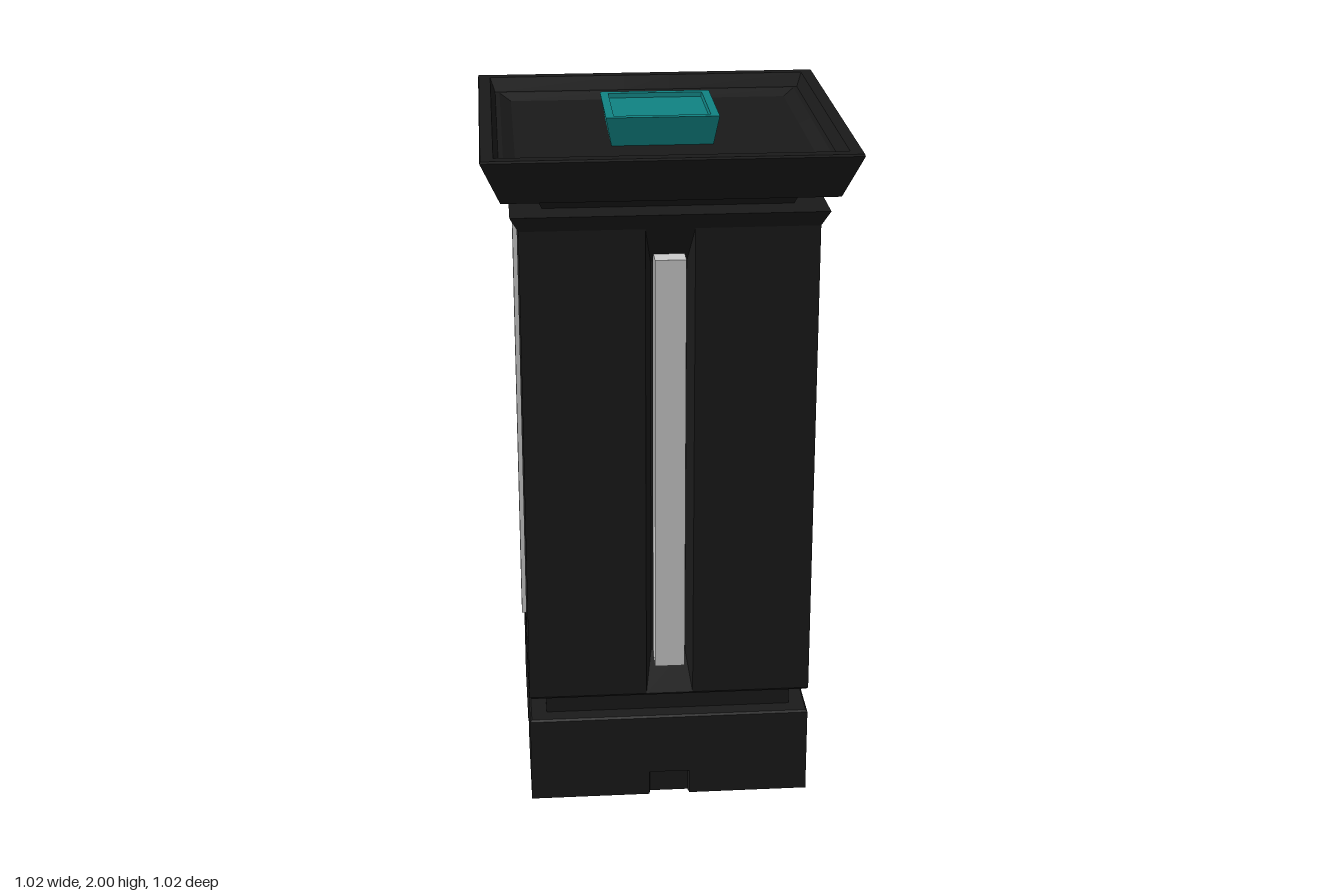
import * as THREE from 'three';

// Square outline with a groove in the middle of each side, as a closed loop.
// half: half width, depth: groove depth, mouth/floor: groove half widths
function section(y, half, depth = 0, mouth = 0.068, floor = mouth) {
  const m = Math.min(mouth, half), f = Math.min(floor, half);
  const side = [[-half, half], [-m, half], [-f, half - depth], [f, half - depth], [m, half]];
  const loop = [];
  for (let k = 0; k < 4; k++) {
    for (let [x, z] of side) {
      for (let r = 0; r < k; r++) [x, z] = [z, -x];
      loop.push([x, y, z]);
    }
  }
  return loop;
}

// Skin a stack of sections, from the bottom centre up to the top centre.
function loft(levels) {
  const rings = levels.map((l) => section(...l));
  const n = rings[0].length;
  const pos = [];
  for (let i = 0; i < rings.length - 1; i++) {
    for (let j = 0; j < n; j++) {
      const k = (j + 1) % n;
      const a = rings[i][j], b = rings[i][k], c = rings[i + 1][k], d = rings[i + 1][j];
      for (const tri of [[a, b, c], [a, c, d]]) {
        const [p, q, r] = tri.map((v) => new THREE.Vector3(...v));
        const area = q.clone().sub(p).cross(r.clone().sub(p)).length();
        if (area > 1e-9) pos.push(...tri.flat());
      }
    }
  }
  const geo = new THREE.BufferGeometry();
  geo.setAttribute('position', new THREE.Float32BufferAttribute(pos, 3));
  geo.computeVertexNormals();
  return geo;
}

export function createModel() {
  const model = new THREE.Group();
  model.name = 'pillar';
  const dark = new THREE.MeshStandardMaterial({ color: 0x1a1a1a, flatShading: true });
  const teal = new THREE.MeshStandardMaterial({ color: 0x108282, flatShading: true });
  const grey = new THREE.MeshStandardMaterial({ color: 0xcccccc, flatShading: true });
  const add = (name, geo, mat) => {
    const mesh = new THREE.Mesh(geo, mat);
    mesh.name = name;
    model.add(mesh);
    return mesh;
  };

  // Base block with a small notch at the foot of each side
  add('base', loft([
    [0, 0], [0, 0.41, 0.02, 0.06, 0.056], [0.075, 0.41, 0.02, 0.06, 0.056],
    [0.075, 0.41, 0, 0.06, 0.056], [0.257, 0.41], [0.263, 0.405], [0.263, 0],
  ]), dark);

  // Recessed neck between base and shaft
  add('lowerNeck', loft([[0.26, 0], [0.26, 0.36], [0.336, 0.36], [0.336, 0]]), dark);

  // Shaft with a sloped-end groove on each side and a flared top edge
  add('shaft', loft([
    [0.333, 0], [0.333, 0.405], [0.34, 0.41],
    [0.45, 0.41, 0.06, 0.068, 0.05], [1.645, 0.41, 0.06, 0.068, 0.05],
    [1.755, 0.41], [1.8, 0.433], [1.8, 0],
  ]), dark);

  // Upper neck and the tray-shaped cap
  add('upperNeck', loft([[1.8, 0], [1.8, 0.344], [1.848, 0.367], [1.848, 0]]), dark);
  add('cap', loft([
    [1.847, 0], [1.847, 0.456], [1.97, 0.508], [1.976, 0.506], [1.976, 0.472],
    [1.935, 0.458], [1.935, 0.445], [1.917, 0.412], [1.917, 0],
  ]), dark);

  // Tapered block in the tray, with a shallow recess in its top
  add('topBlock', loft([
    [1.915, 0], [1.915, 0.142], [2, 0.158], [2, 0.135], [1.987, 0.133], [1.987, 0],
  ]), teal);

  // A light strip in each groove
  const stripGeo = new THREE.BoxGeometry(0.086, 1.235, 0.075).translate(0, 1.0525, 0.3845);
  for (let k = 0; k < 4; k++) {
    add('lightStrip', stripGeo, grey).rotation.y = (k * Math.PI) / 2;
  }
  return model;
}
